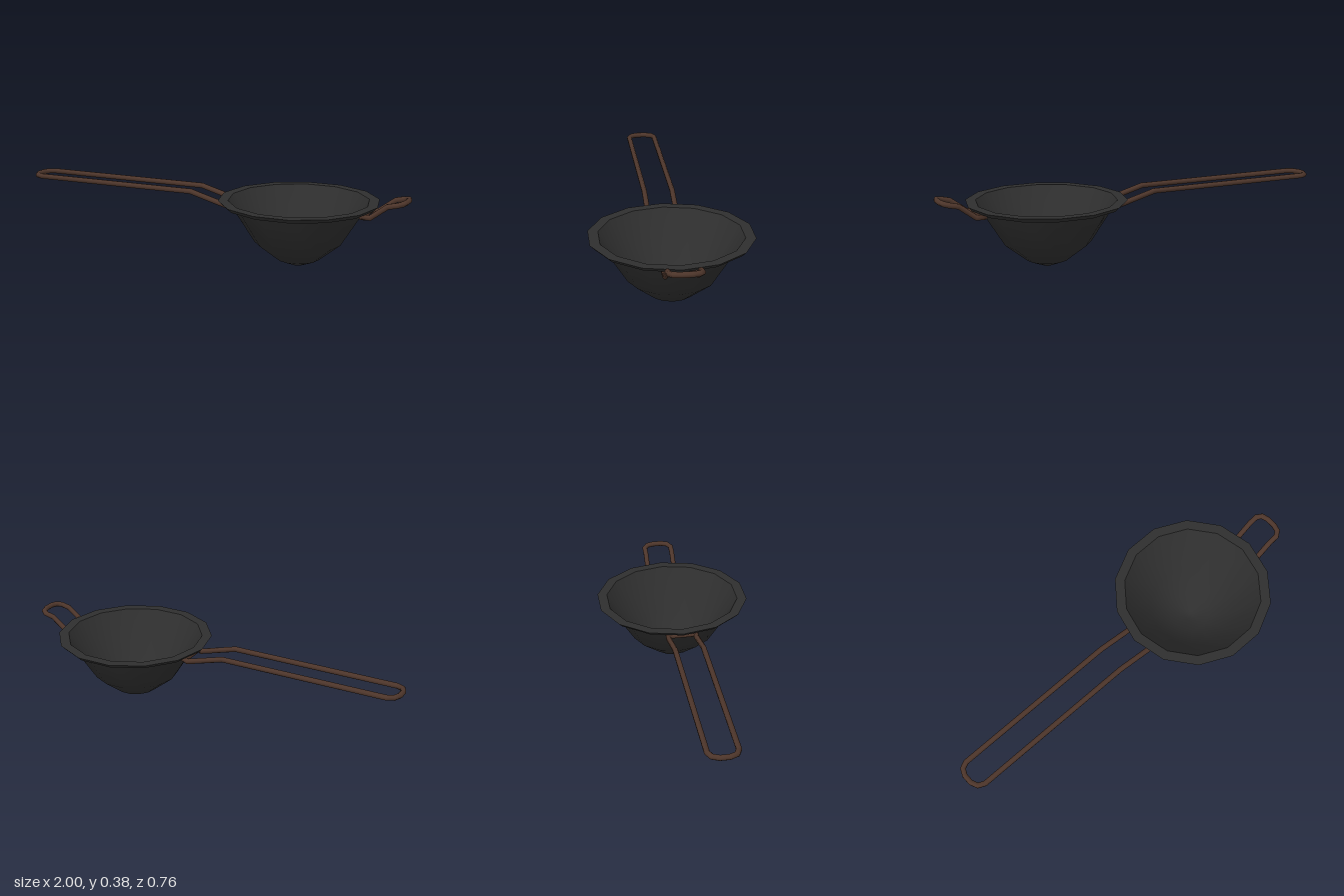
import * as THREE from 'three';

const SIDES = 14;
const iron = new THREE.MeshStandardMaterial({ color: 0x2e2e2e, side: THREE.DoubleSide });
const copper = new THREE.MeshStandardMaterial({ color: 0x4d352a });

// Turned part with a corner on the x axis
function lathe(name, profile) {
  const pts = profile.map(([r, y]) => new THREE.Vector2(r, y));
  const mesh = new THREE.Mesh(new THREE.LatheGeometry(pts, SIDES, Math.PI / 2), iron);
  mesh.name = name;
  return mesh;
}

// Closed rod loop with mitred corners; half is the z > 0 side, mirrored to close.
// The half runs from the bowl outwards.
function rodLoop(name, half, radius = 0.0132, sides = 8) {
  const path = [...half, ...half.map(([x, y, z]) => [x, y, -z]).reverse()]
    .map((p) => new THREE.Vector3(...p));
  const n = path.length, pos = [], idx = [];
  const dir = (i) => path[(i + 1) % n].clone().sub(path[i % n]).normalize();
  const up = new THREE.Vector3(0, 1, 0);
  path.forEach((p, i) => {
    const d = dir(i + n - 1), plane = d.clone().add(dir(i));
    const side = up.clone().cross(d).normalize(), top = d.clone().cross(side);
    for (let k = 0; k < sides; k++) {
      const a = (k / sides) * Math.PI * 2 + Math.PI / sides;
      const o = side.clone().multiplyScalar(Math.cos(a) * radius)
        .addScaledVector(top, Math.sin(a) * radius);
      o.addScaledVector(d, -o.dot(plane) / d.dot(plane));
      pos.push(p.x + o.x, p.y + o.y, p.z + o.z);
      const j = (i + 1) % n, k2 = (k + 1) % sides;
      const A = i * sides + k, B = i * sides + k2, C = j * sides + k2, D = j * sides + k;
      idx.push(A, B, C, A, C, D);
    }
  });
  const geo = new THREE.BufferGeometry();
  geo.setAttribute('position', new THREE.Float32BufferAttribute(pos, 3));
  geo.setIndex(idx);
  geo.computeVertexNormals();
  const mesh = new THREE.Mesh(geo, copper);
  mesh.name = name;
  return mesh;
}

export function createModel() {
  const model = new THREE.Group();
  model.name = 'pan';

  // Bowl: outer wall, inner wall and flared rim
  const bowl = new THREE.Group();
  bowl.name = 'bowl';
  bowl.position.x = 0.452;
  bowl.add(
    lathe('outerWall', [[0, 0], [0.02, 0.001], [0.103, 0.034], [0.213, 0.12], [0.33, 0.306]]),
    lathe('innerWall', [[0.342, 0.326], [0.207, 0.126], [0.1, 0.042], [0.02, 0.009], [0, 0.009]]),
    lathe('rimUnderside', [[0.33, 0.306], [0.371, 0.306]]),
    lathe('rimEdge', [[0.371, 0.306], [0.391, 0.326]]),
    lathe('rimTop', [[0.391, 0.326], [0.342, 0.326]]),
  );
  model.add(bowl);

  // Long handle, dipping down to meet the bowl under the rim
  model.add(rodLoop('longHandle', [
    [0.122, 0.284, 0.07], [0.105, 0.278, 0.07], [-0.09, 0.332, 0.07],
    [-0.94, 0.332, 0.07], [-0.972, 0.332, 0.055], [-0.987, 0.332, 0.022],
  ]));

  // Short helper handle, rising outward past the rim
  model.add(rodLoop('helperHandle', [
    [0.79, 0.292, 0.072], [0.828, 0.293, 0.072], [0.91, 0.354, 0.072],
    [0.955, 0.364, 0.072], [0.978, 0.369, 0.055], [0.987, 0.371, 0.022],
  ]));

  return model;
}
